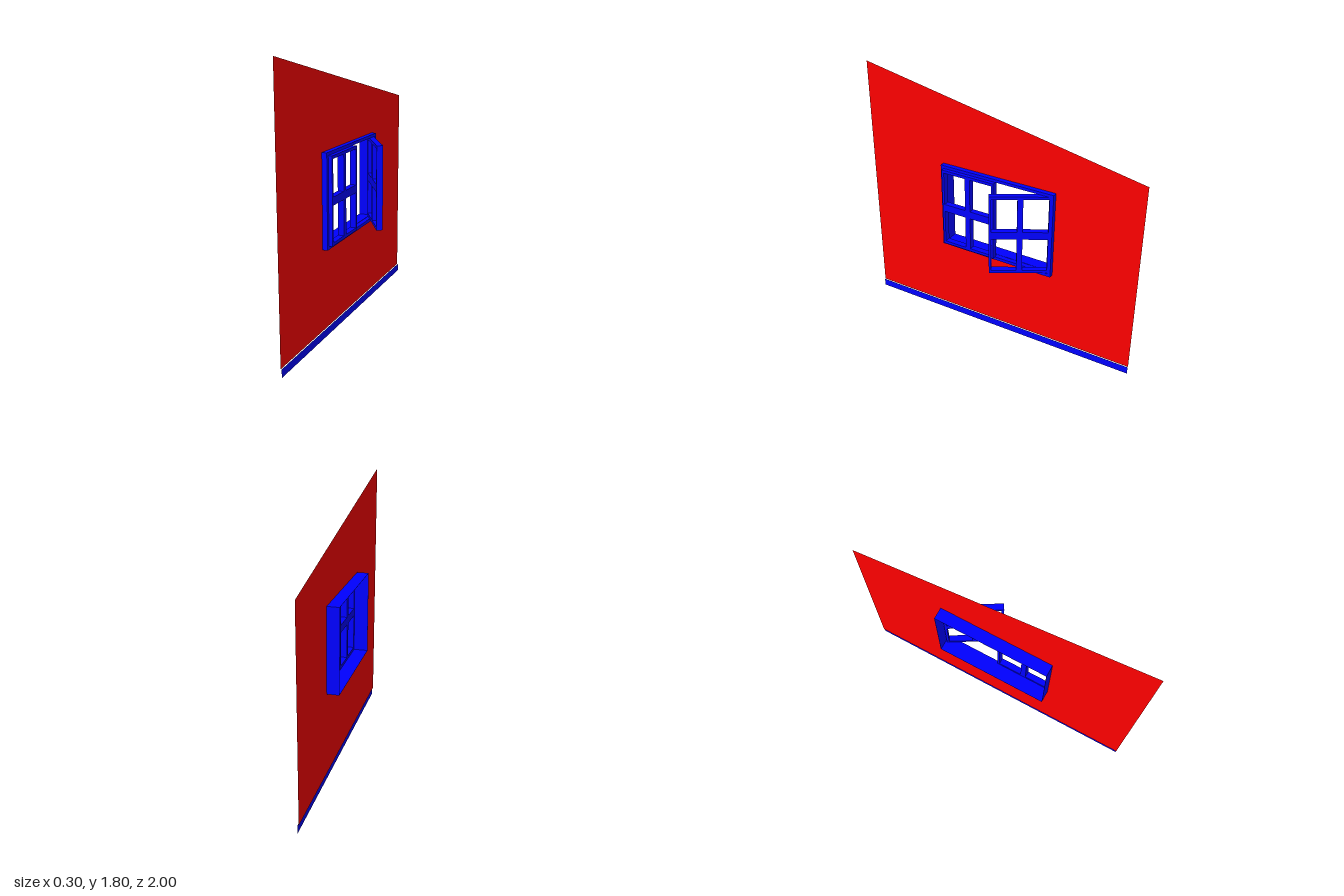
import * as THREE from 'three';

const RED = new THREE.MeshStandardMaterial({ color: 0xff0000, side: THREE.DoubleSide });
const BLUE = new THREE.MeshStandardMaterial({ color: 0x0000ff, side: THREE.DoubleSide, flatShading: true });

const WALL_X = -0.07;
const OPEN = { z: 0.395, y0: 0.607, y1: 1.177 }; // window opening

function rectPath(Type, x0, y0, x1, y1) {
  const p = new Type();
  p.moveTo(x0, y0);
  p.lineTo(x1, y0);
  p.lineTo(x1, y1);
  p.lineTo(x0, y1);
  p.closePath();
  return p;
}

// Turns a drawing in the x-y plane so that it faces +x (drawn x becomes -z).
function part(name, geometry, material) {
  geometry.rotateY(Math.PI / 2);
  const mesh = new THREE.Mesh(geometry, material);
  mesh.name = name;
  return mesh;
}

const extrude = (shape, depth) => new THREE.ExtrudeGeometry(shape, { depth, bevelEnabled: false });

// Four-pane sash, hinge corner at the origin, running towards -z.
function makeSash(name) {
  const w = 0.395, h = 0.568, stile = 0.016, mullion = 0.037, rail = 0.02, midRail = 0.053;
  const paneW = (w - 2 * stile - mullion) / 2;
  const paneH = (h - 2 * rail - midRail) / 2;
  const shape = rectPath(THREE.Shape, 0, 0, w, h);
  for (let i = 0; i < 2; i++) {
    for (let j = 0; j < 2; j++) {
      const x = stile + i * (paneW + mullion);
      const y = rail + j * (paneH + midRail);
      shape.holes.push(rectPath(THREE.Path, x, y, x + paneW, y + paneH));
    }
  }
  return part(name, extrude(shape, 0.042), BLUE);
}

export function createModel() {
  const model = new THREE.Group();
  model.name = 'wallWithWindow';

  // Thin wall with a sloping top edge and a window opening
  const wallShape = new THREE.Shape([[-1, 0.053], [1, 0.053], [1, 1.4], [-1, 1.8]]
    .map(([x, y]) => new THREE.Vector2(x, y)));
  wallShape.holes.push(rectPath(THREE.Path, -OPEN.z, OPEN.y0, OPEN.z, OPEN.y1));
  const wall = part('wall', new THREE.ShapeGeometry(wallShape), RED);
  wall.position.x = WALL_X - 0.0005;
  model.add(wall);

  // Skirting strip along the bottom
  const skirting = part('skirting', new THREE.PlaneGeometry(2, 0.053), BLUE);
  skirting.position.set(-0.064, 0.0265, 0);
  model.add(skirting);

  // Frame around the opening
  const frameShape = rectPath(THREE.Shape, -0.417, 0.585, 0.417, 1.197);
  frameShape.holes.push(rectPath(THREE.Path, -OPEN.z, OPEN.y0, OPEN.z, OPEN.y1));
  const frame = part('windowFrame', extrude(frameShape, 0.033), BLUE);
  frame.position.x = WALL_X;
  model.add(frame);

  // Thin reveal lining behind the wall
  const t = 0.002;
  const revealShape = rectPath(THREE.Shape, -OPEN.z, OPEN.y0, OPEN.z, OPEN.y1);
  revealShape.holes.push(rectPath(THREE.Path, -OPEN.z + t, OPEN.y0 + t, OPEN.z - t, OPEN.y1 - t));
  const reveal = part('windowReveal', extrude(revealShape, 0.081), BLUE);
  reveal.position.x = -0.151;
  model.add(reveal);

  // Closed sash
  const closedSash = makeSash('closedSash');
  closedSash.position.set(-0.054, 0.608, 0.395);
  model.add(closedSash);

  // Sash swung open by 30 degrees about its hinge
  const hinge = new THREE.Group();
  hinge.name = 'openSashHinge';
  hinge.position.set(-0.0865, 0.608, -0.382);
  hinge.rotation.y = Math.PI / 6;
  const openSash = makeSash('openSash');
  openSash.position.z = 0.395;
  hinge.add(openSash);
  model.add(hinge);

  return model;
}
